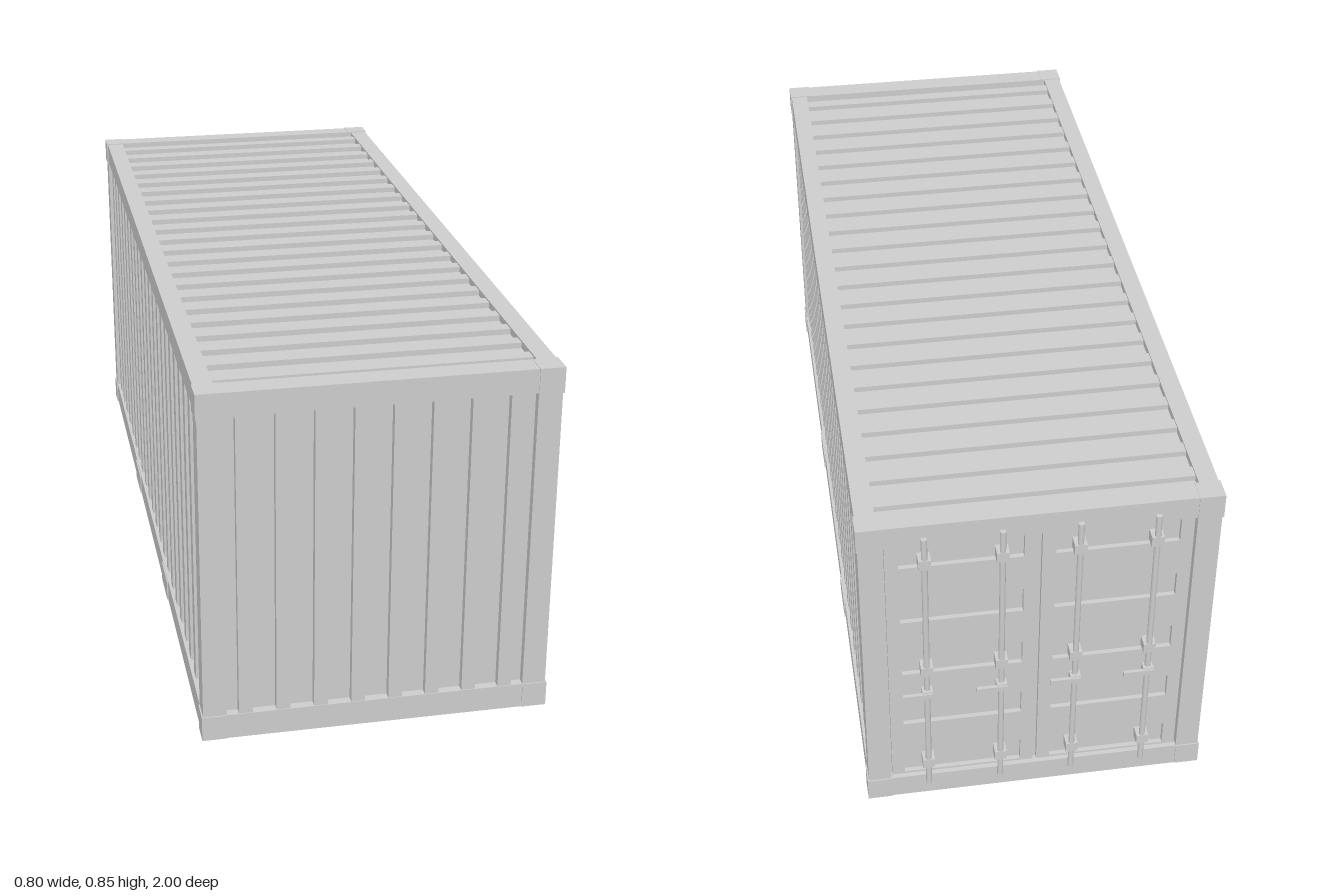
import * as THREE from 'three';

export function createModel() {
  const model = new THREE.Group();
  const paint = new THREE.MeshStandardMaterial({ color: 0xcccccc });
  paint.name = 'light grey paint';

  // Box given by its min and max on each axis
  function box(name, [x0, x1], [y0, y1], [z0, z1], parent = model) {
    const m = new THREE.Mesh(new THREE.BoxGeometry(x1 - x0, y1 - y0, z1 - z0), paint);
    m.position.set((x0 + x1) / 2, (y0 + y1) / 2, (z0 + z1) / 2);
    m.name = name;
    parent.add(m);
    return m;
  }
  function group(name) {
    const g = new THREE.Group();
    g.name = name;
    model.add(g);
    return g;
  }
  // Ordered range on one side of the centre
  const side = (s, a, b) => (s > 0 ? [a, b] : [-b, -a]);

  // Closed body: its faces are the bottoms of the corrugations and the floor
  box('body', [-0.373, 0.373], [0.018, 0.826], [-0.957, 0.978]);

  // Frame rails, posts and corner castings
  const frame = group('frame');
  for (const s of [1, -1]) {
    const x = side(s, 0.353, 0.397);
    box('bottomSideRail', x, [0, 0.058], [-0.93, 0.945], frame);
    box('topSideRail', x, [0.79, 0.843], [-0.93, 0.945], frame);
    for (const [z0, z1, c0, c1] of [[0.943, 0.997, 0.943, 1], [-0.977, -0.928, -0.98, -0.928]]) {
      box('cornerPost', side(s, 0.343, 0.397), [0.055, 0.79], [z0, z1], frame);
      box('cornerCasting', side(s, 0.343, 0.4), [0, 0.06], [c0, c1], frame);
      box('cornerCasting', side(s, 0.343, 0.4), [0.785, 0.845], [c0, c1], frame);
    }
    // Fork pocket plates
    for (const z of [0.31, -0.31]) {
      box('forkPocketPlate', side(s, 0.39, 0.4), [0.003, 0.055], [z - 0.055, z + 0.055], frame);
    }
  }
  for (const [z0, z1] of [[0.943, 0.998], [-0.978, -0.93]]) {
    box('bottomEndRail', [-0.345, 0.345], [0, 0.06], [z0, z1], frame);
    box('topEndRail', [-0.345, 0.345], [0.788, 0.844], [z0, z1], frame);
  }

  // Raised ribs of the corrugated walls and roof
  const pitch = 0.085;
  const half = 0.016;
  const sideRibs = group('sideWallRibs');
  const roofRibs = group('roofRibs');
  for (let i = 0; i < 22; i++) {
    const z = 0.945 - pitch * (i + 0.5);
    const zr = [z - half, z + half];
    for (const s of [1, -1]) box('sideRib', side(s, 0.37, 0.39), [0.05, 0.795], zr, sideRibs);
    box('roofRib', [-0.357, 0.357], [0.82, 0.839], zr, roofRibs);
  }
  const frontRibs = group('frontWallRibs');
  for (let i = 0; i < 8; i++) {
    const x = (i - 3.5) * 0.0857;
    box('frontRib', [x - half, x + half], [0.055, 0.79], [0.97, 0.996], frontRibs);
  }

  // Two back doors, each a plate with narrow horizontal grooves
  const doors = group('doors');
  const grooves = [0.1, 0.2625, 0.425, 0.5875, 0.75];
  for (const s of [1, -1]) {
    const z = [-0.968, -0.95];
    let y = 0.062;
    for (const g of [...grooves, 0.8185]) {
      const top = Math.min(g - 0.0325, 0.786);
      if (top > y) box('doorPanel', side(s, 0.035, 0.31), [y, top], z, doors);
      y = g + 0.0325;
    }
    box('doorInnerStile', side(s, 0.004, 0.035), [0.062, 0.786], z, doors);
    box('doorOuterStile', side(s, 0.31, 0.34), [0.062, 0.786], z, doors);
  }

  // Locking bars with brackets and handles
  const locks = group('lockingBars');
  for (const x of [-0.255, -0.085, 0.085, 0.255]) {
    const bar = new THREE.Mesh(new THREE.CylinderGeometry(0.007, 0.007, 0.77, 12), paint);
    bar.position.set(x, 0.425, -0.983);
    bar.name = 'lockingBar';
    locks.add(bar);
    for (const y of [0.11, 0.415, 0.74]) {
      box('barBracket', [x - 0.014, x + 0.014], [y - 0.013, y + 0.013], [-0.99, -0.96], locks);
    }
    box('handleHub', [x - 0.012, x + 0.012], [0.336, 0.356], [-0.996, -0.975], locks);
    box('handle', [x - 0.012, x + 0.058], [0.339, 0.353], [-1, -0.992], locks);
  }

  return model;
}
